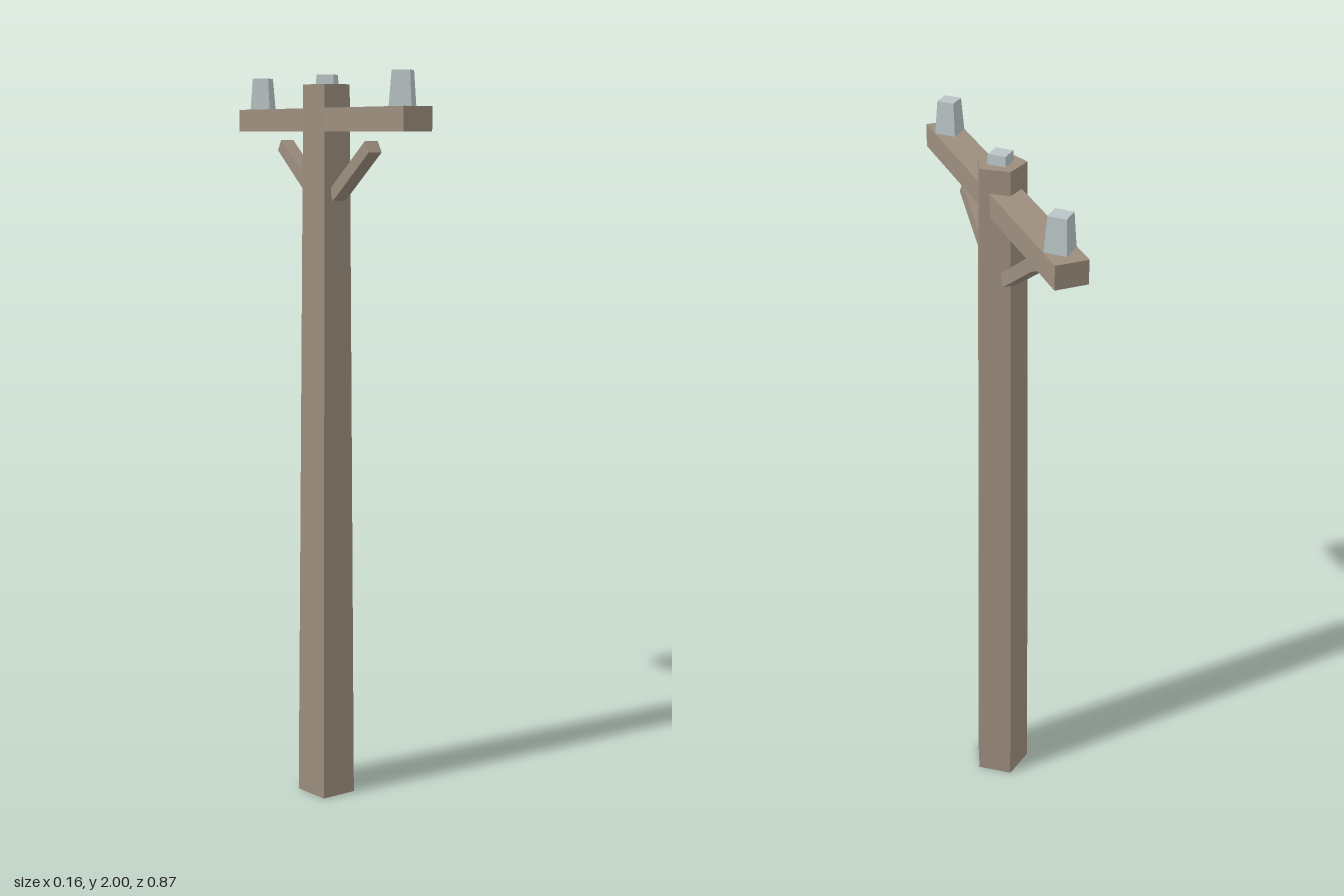
import * as THREE from 'three';

export function createModel() {
  const model = new THREE.Group();
  model.name = 'utilityPole';
  const wood = new THREE.MeshStandardMaterial({ color: 0x9c8e7e, flatShading: true });
  const ceramic = new THREE.MeshStandardMaterial({ color: 0xb9c4c5, flatShading: true });

  const add = (name, geometry, material, x, y, z) => {
    const mesh = new THREE.Mesh(geometry, material);
    mesh.name = name;
    mesh.position.set(x, y, z);
    model.add(mesh);
    return mesh;
  };

  // Tapered five-sided post, flat face to the front
  const post = add('post', new THREE.CylinderGeometry(0.064, 0.084, 1.975, 5), wood, 0, 1.975 / 2, 0);
  post.rotation.y = Math.PI;

  // Crossarm running front to back
  add('crossarm', new THREE.BoxGeometry(0.082, 0.06, 0.872), wood, 0, 1.885, 0);

  // Slanted braces, mirrored front and back
  const braceGeometry = new THREE.BoxGeometry(0.038, 0.034, 0.22);
  for (const side of [1, -1]) {
    const brace = add(side > 0 ? 'frontBrace' : 'backBrace', braceGeometry, wood, 0, 1.7545, side * 0.143);
    brace.rotation.x = -side * 0.615;
  }

  // Four-sided insulators: both arm ends and the post top
  const insulatorGeometry = new THREE.CylinderGeometry(0.032, 0.04, 0.087, 4);
  [['frontInsulator', 0.367], ['middleInsulator', 0], ['backInsulator', -0.367]].forEach(([name, z]) =>
    add(name, insulatorGeometry, ceramic, 0, 1.9565, z));

  return model;
}
